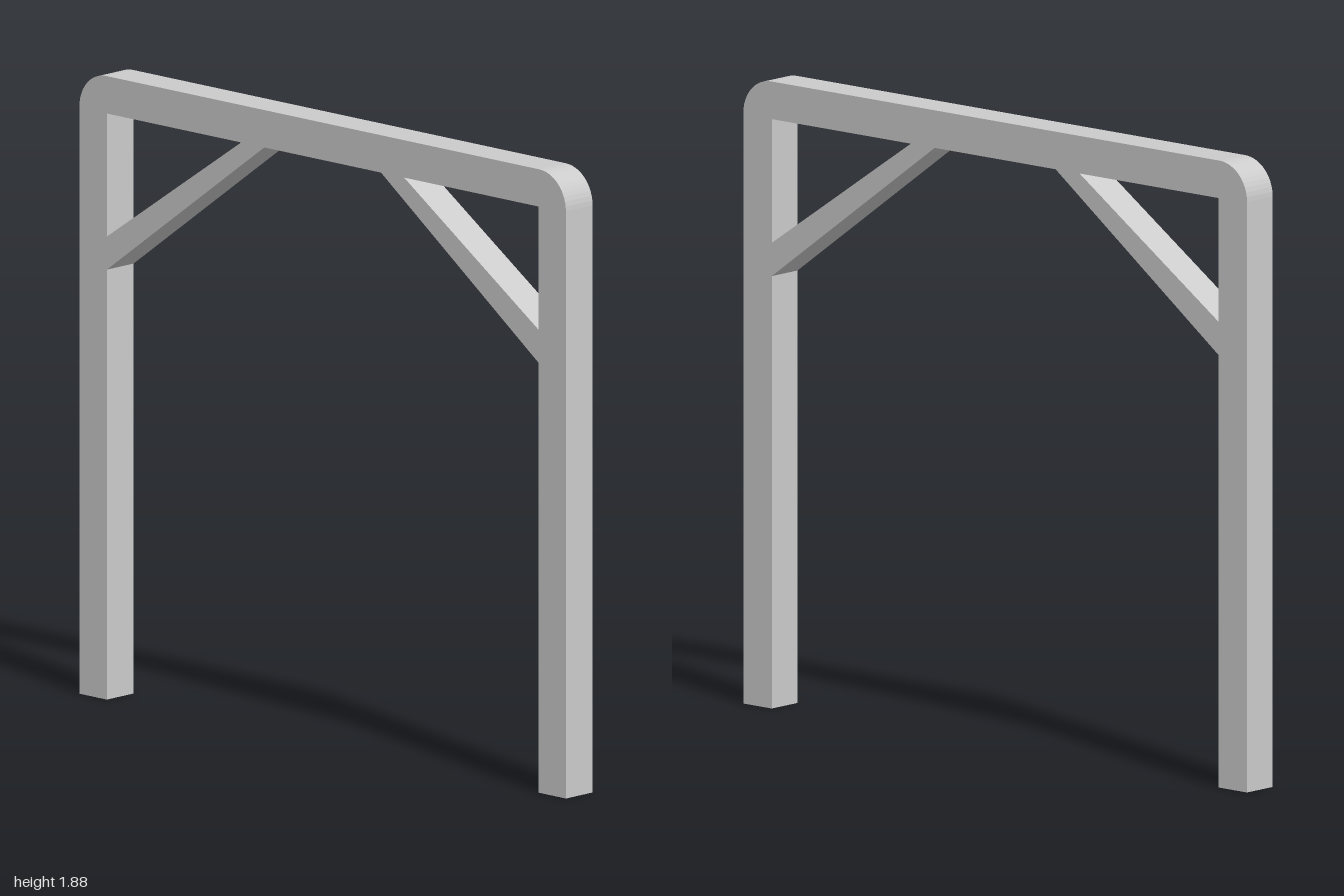
import * as THREE from 'three';

const HALF = 1;         // half of the overall span
const HEIGHT = 1.885;
const BAR = 0.113;      // square bar thickness
const RADIUS = 0.11;    // rounded top corners
const INNER = HALF - BAR;
const UNDER = HEIGHT - BAR;

// Brace edges: height where they meet the post, distance where they meet the beam
const BRACE = { postLow: 1.3, postHigh: 1.4, beamInner: 0.24, beamOuter: 0.335 };

export function createModel() {
  const group = new THREE.Group();
  group.name = 'braceFrame';

  // Outline of posts, beam and the lower edges of the braces
  const shape = new THREE.Shape();
  shape.moveTo(INNER, 0);
  shape.lineTo(HALF, 0);
  shape.lineTo(HALF, HEIGHT - RADIUS);
  shape.absarc(HALF - RADIUS, HEIGHT - RADIUS, RADIUS, 0, Math.PI / 2, false);
  shape.lineTo(-HALF + RADIUS, HEIGHT);
  shape.absarc(-HALF + RADIUS, HEIGHT - RADIUS, RADIUS, Math.PI / 2, Math.PI, false);
  shape.lineTo(-HALF, 0);
  shape.lineTo(-INNER, 0);
  shape.lineTo(-INNER, BRACE.postLow);
  shape.lineTo(-BRACE.beamInner, UNDER);
  shape.lineTo(BRACE.beamInner, UNDER);
  shape.lineTo(INNER, BRACE.postLow);
  shape.closePath();

  // Triangular openings above the braces
  for (const s of [1, -1]) {
    shape.holes.push(new THREE.Path([
      new THREE.Vector2(s * INNER, BRACE.postHigh),
      new THREE.Vector2(s * INNER, UNDER),
      new THREE.Vector2(s * BRACE.beamOuter, UNDER),
    ]));
  }

  // Extrude across the bar, then turn the span along z
  const geometry = new THREE.ExtrudeGeometry(shape, { depth: BAR, bevelEnabled: false, curveSegments: 6 });
  geometry.translate(0, 0, -BAR / 2);
  geometry.rotateY(-Math.PI / 2);

  const frame = new THREE.Mesh(geometry, new THREE.MeshStandardMaterial({ color: 0xcccccc, flatShading: true }));
  frame.name = 'postsBeamAndBraces';
  group.add(frame);
  return group;
}
